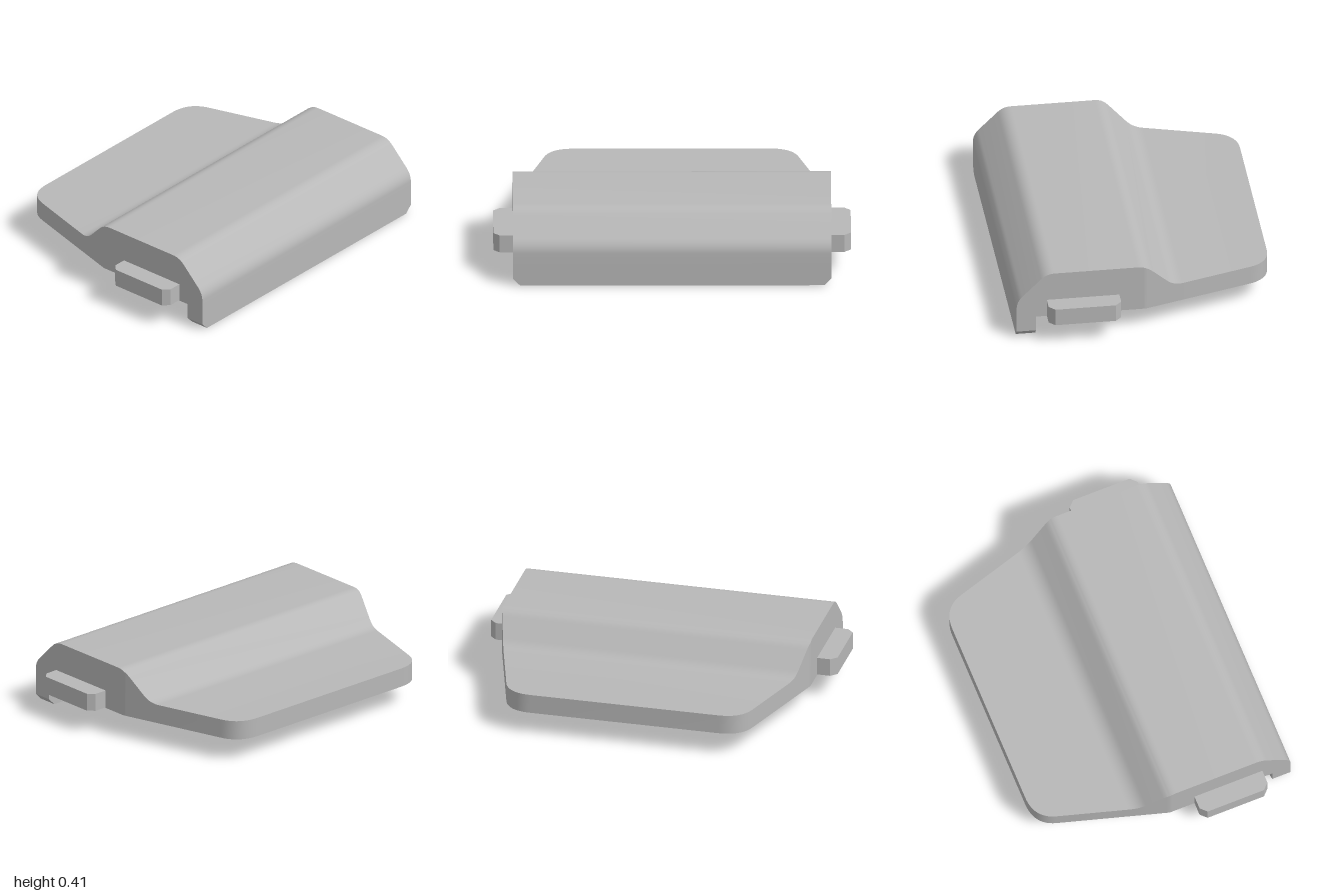
import * as THREE from 'three';
import { toCreasedNormals } from 'three/addons/utils/BufferGeometryUtils.js';

const BASE = 0.13, CEILING = 0.235, HOLE_TOP = 0.35;
const HALF = 0.89, TAPER = 0.295;

const V = (x, y) => new THREE.Vector2(x, y);

// Turns a list of four-cornered faces into a geometry
function fromQuads(quads) {
  const pos = [];
  for (const [a, b, c, d] of quads) pos.push(...a, ...b, ...c, ...a, ...c, ...d);
  const g = new THREE.BufferGeometry();
  g.setAttribute('position', new THREE.Float32BufferAttribute(pos, 3));
  return toCreasedNormals(g, 0.25);
}

// Inward-facing wall around a plan outline (x, z)
function innerWall(outline, lo, hi) {
  return fromQuads(outline.map((p, i) => {
    const q = outline[(i + 1) % outline.length];
    return [[p.x, lo, p.y], [q.x, lo, q.y], [q.x, hi, q.y], [p.x, hi, p.y]];
  }));
}

// Flat face looking down, with openings
function downFace(outline, openings, y) {
  const shape = new THREE.Shape(outline);
  shape.holes = openings.map((o) => new THREE.Path(o));
  return new THREE.ShapeGeometry(shape).rotateX(Math.PI / 2).translate(0, y, 0);
}

function circle(x, z, r, n = 40) {
  return Array.from({ length: n }, (_, i) => {
    const a = (i / n) * Math.PI * 2;
    return V(x + r * Math.cos(a), z + r * Math.sin(a));
  });
}

export function createModel() {
  const model = new THREE.Group();
  const grey = new THREE.MeshStandardMaterial({ color: 0xb8b8b8 });
  grey.name = 'grey plastic';
  const add = (name, geometry) => {
    const mesh = new THREE.Mesh(geometry, grey);
    mesh.name = name;
    model.add(mesh);
    return mesh;
  };

  // Stations along x: rounded flap corner, then the raised profile
  const corner = new THREE.QuadraticBezierCurve(V(-0.73, 0.54), V(-0.73, 0.675), V(-0.61, 0.71));
  const stations = corner.getPoints(12).map((p) => ({ x: p.x, y: 0.24, w: p.y }));
  const profile = new THREE.Path();
  profile.moveTo(-0.22, 0.24);
  profile.quadraticCurveTo(-0.165, 0.24, -0.127, 0.278);
  profile.lineTo(-0.035, 0.37);
  profile.quadraticCurveTo(0, 0.405, 0.045, 0.405);
  profile.lineTo(0.515, 0.405);
  profile.quadraticCurveTo(0.56, 0.405, 0.592, 0.373);
  profile.lineTo(0.697, 0.268);
  profile.quadraticCurveTo(0.73, 0.235, 0.73, 0.19);
  for (const p of profile.getPoints(8)) {
    stations.push({ x: p.x, y: p.y, w: Math.min(HALF, HALF + TAPER * p.x) });
  }

  // Outer shell: top skin, two sides and two ends
  const quads = [];
  for (let i = 0; i + 1 < stations.length; i++) {
    const s = stations[i], t = stations[i + 1];
    quads.push([[s.x, s.y, s.w], [t.x, t.y, t.w], [t.x, t.y, -t.w], [s.x, s.y, -s.w]]);
    quads.push([[s.x, BASE, s.w], [t.x, BASE, t.w], [t.x, t.y, t.w], [s.x, s.y, s.w]]);
    quads.push([[t.x, BASE, -t.w], [s.x, BASE, -s.w], [s.x, s.y, -s.w], [t.x, t.y, -t.w]]);
  }
  const a = stations[0], b = stations[stations.length - 1];
  quads.push([[a.x, BASE, -a.w], [a.x, BASE, a.w], [a.x, a.y, a.w], [a.x, a.y, -a.w]]);
  quads.push([[b.x, BASE, b.w], [b.x, BASE, -b.w], [b.x, b.y, -b.w], [b.x, b.y, b.w]]);
  add('outerShell', fromQuads(quads));

  // Underside with a chamfered pocket
  const pocket = [V(0.145, -0.63), V(0.25, -0.74), V(0.62, -0.74),
    V(0.62, 0.74), V(0.25, 0.74), V(0.145, 0.63)];
  const plan = [
    ...corner.getPoints(12), V(0, HALF), V(0.73, HALF),
  ];
  const outline = [...plan, ...plan.map((p) => V(p.x, -p.y)).reverse()];
  add('underside', downFace(outline, [pocket], BASE));
  add('pocketWall', innerWall(pocket, BASE, CEILING));

  // Two blind holes in the pocket ceiling
  const holes = [-0.29, 0.29].map((z) => circle(0.275, z, 0.105));
  add('pocketCeiling', downFace(pocket, holes, CEILING));
  for (const hole of holes) {
    add('holeWall', innerWall(hole, CEILING, HOLE_TOP));
    add('holeEnd', downFace(hole, [], HOLE_TOP));
  }

  // Hanging lip with chamfered lower corners
  const lip = new THREE.Shape([V(-0.85, 0), V(0.85, 0), V(HALF, 0.04),
    V(HALF, BASE), V(-HALF, BASE), V(-HALF, 0.04)]);
  add('lip', new THREE.ExtrudeGeometry(lip, { depth: 0.11, bevelEnabled: false })
    .rotateY(Math.PI / 2).translate(0.62, 0, 0));

  // Chamfered tab on each end
  const tab = new THREE.Shape([V(0.15, 0.88), V(0.56, 0.88), V(0.56, 0.965),
    V(0.525, 1), V(0.185, 1), V(0.15, 0.965)]);
  for (const side of [1, -1]) {
    const g = new THREE.ExtrudeGeometry(tab, { depth: 0.102, bevelEnabled: false })
      .rotateX(Math.PI / 2).translate(0, 0.235, 0);
    if (side < 0) g.rotateY(Math.PI).translate(0.71, 0, 0);
    add(side > 0 ? 'frontTab' : 'backTab', g);
  }
  return model;
}
